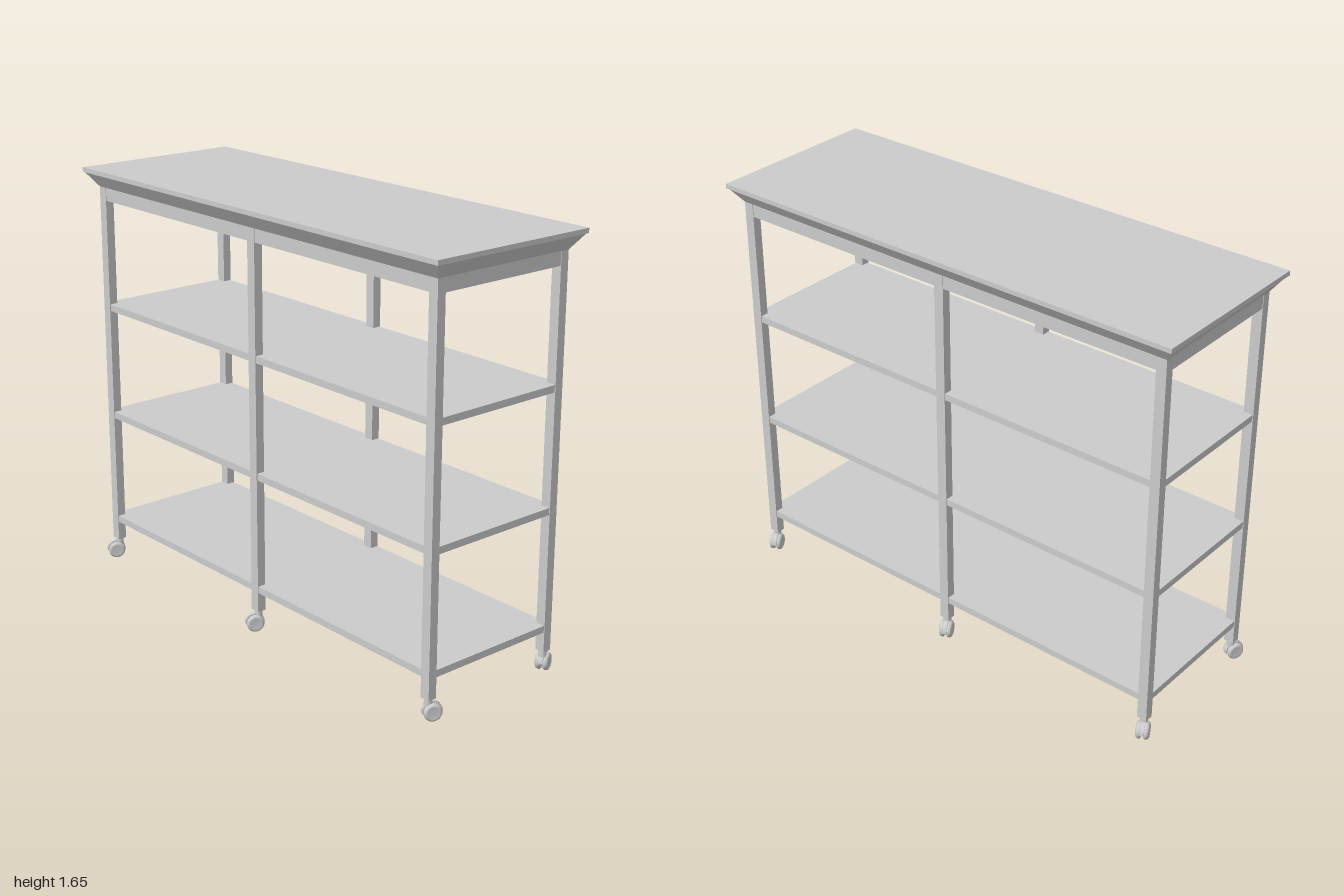
import * as THREE from 'three';

const material = new THREE.MeshStandardMaterial({ color: 0xcccccc });
const LEG_X = 0.935, LEG_Z = 0.2875, LEG_W = 0.04, LEG_D = 0.035;

function add(parent, name, geometry, x = 0, y = 0, z = 0) {
  const mesh = new THREE.Mesh(geometry, material);
  mesh.name = name;
  mesh.position.set(x, y, z);
  parent.add(mesh);
  return mesh;
}

// Box placed by its bottom and top heights
function slab(parent, name, w, d, y0, y1, x = 0, z = 0) {
  return add(parent, name, new THREE.BoxGeometry(w, y1 - y0, d), x, (y0 + y1) / 2, z);
}

// Twin-wheel swivel caster: axle along local x, wheels trailing along local z
function createCaster(x, z, swivel, trail) {
  const caster = new THREE.Group();
  caster.name = 'caster';
  caster.position.set(x, 0, z);
  caster.rotation.y = swivel;

  // Rounded wheel profile, radius against axle position
  const profile = [
    [0, 0], [0.029, 0], [0.033, 0.003], [0.034, 0.007], [0.034, 0.011],
    [0.031, 0.017], [0.025, 0.02], [0.023, 0.018], [0, 0.018],
  ].map(([r, a]) => new THREE.Vector2(r, a));
  const wheelGeometry = new THREE.LatheGeometry(profile, 24);
  for (const side of [-1, 1]) {
    const wheel = add(caster, 'wheel', wheelGeometry, side * 0.005, 0.034, trail);
    wheel.rotation.z = -side * Math.PI / 2;
  }

  // Axle and curved hood between the wheels
  add(caster, 'axle', new THREE.CylinderGeometry(0.01, 0.01, 0.03, 12), 0, 0.034, trail).rotation.z = Math.PI / 2;
  const hood = new THREE.Shape();
  hood.absarc(0, 0, 0.038, 0, Math.PI, false);
  hood.closePath();
  const hoodGeometry = new THREE.ExtrudeGeometry(hood, { depth: 0.016, bevelEnabled: false, curveSegments: 16 });
  hoodGeometry.translate(0, 0, -0.008).rotateY(Math.PI / 2);
  add(caster, 'hood', hoodGeometry, 0, 0.034, trail);

  // Swivel stem into the leg
  add(caster, 'stem', new THREE.CylinderGeometry(0.014, 0.016, 0.04, 16), 0, 0.07, 0);
  return caster;
}

// Moulded edge: a four-sided frustum flaring up to the top board
function createMoulding(w0, d0, w1, d1, y0, y1) {
  const geometry = new THREE.BoxGeometry(1, y1 - y0, 1);
  const p = geometry.attributes.position;
  for (let i = 0; i < p.count; i++) {
    const upper = p.getY(i) > 0;
    p.setX(i, p.getX(i) * (upper ? w1 : w0));
    p.setZ(i, p.getZ(i) * (upper ? d1 : d0));
  }
  geometry.translate(0, (y0 + y1) / 2, 0);
  geometry.computeVertexNormals();
  return geometry;
}

export function createModel() {
  const rack = new THREE.Group();
  rack.name = 'shelfTrolley';

  // Top board with flared moulding and the frame beneath
  slab(rack, 'topBoard', 2, 0.704, 1.632, 1.65);
  add(rack, 'moulding', createMoulding(1.91, 0.61, 1.99, 0.694, 1.575, 1.632));
  slab(rack, 'topFrame', 1.906, 0.606, 1.523, 1.575);

  // Shelves, set just behind the leg faces
  for (const y of [0.163, 0.62, 1.075]) slab(rack, 'shelf', 1.904, 0.604, y, y + 0.027);

  // Legs with casters, swivelled opposite ways front and back
  for (const x of [-LEG_X, 0, LEG_X]) {
    for (const side of [-1, 1]) {
      slab(rack, 'leg', LEG_W, LEG_D, 0.085, 1.576, x, side * LEG_Z);
      const trail = side > 0 && x <= 0 ? 0.015 : -0.014;
      rack.add(createCaster(x, side * LEG_Z, -side * 0.45, trail));
    }
  }
  return rack;
}
